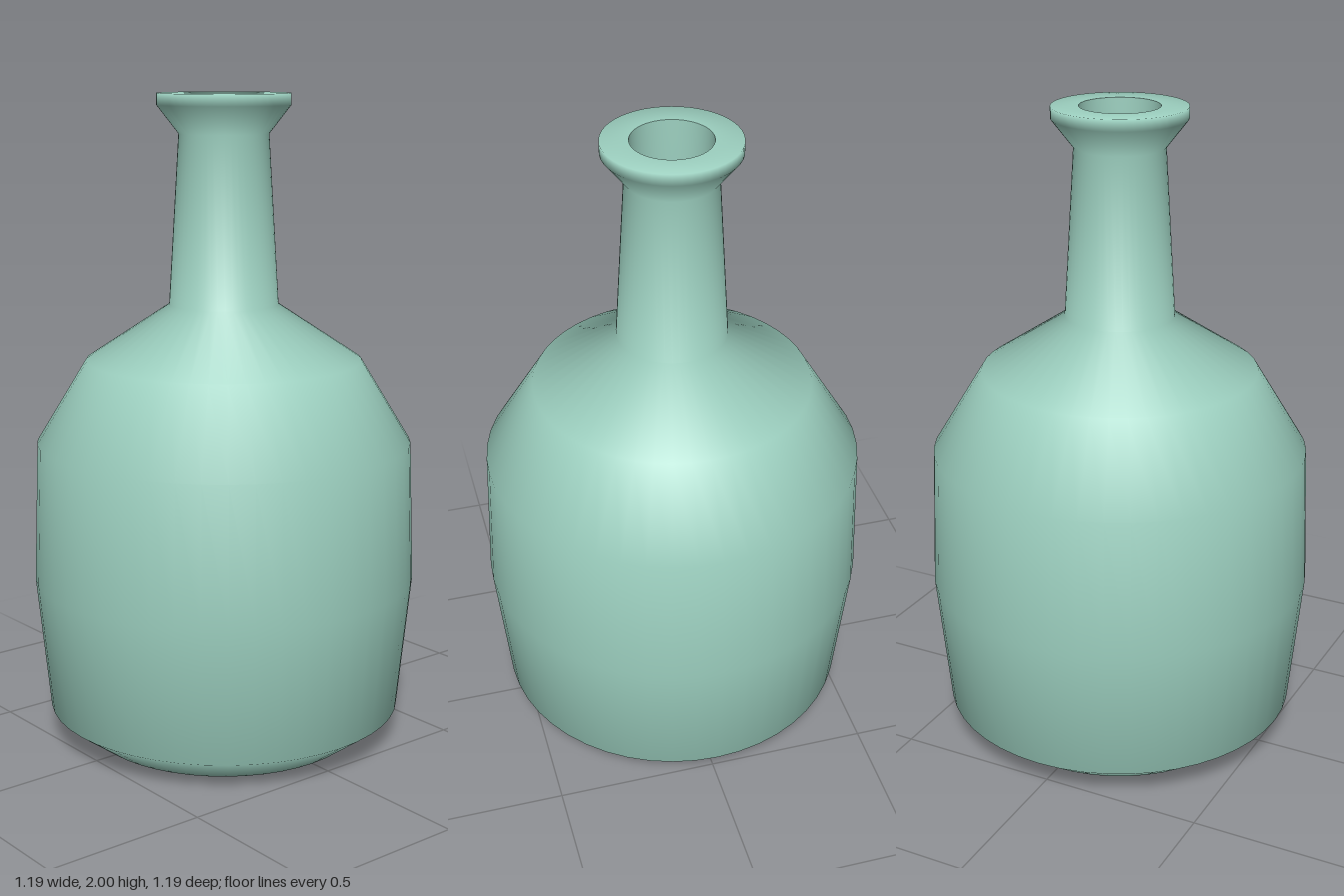
import * as THREE from 'three';

const SEGMENTS = 48;

export function createModel() {
  const group = new THREE.Group();
  group.name = 'bottle';
  const glass = new THREE.MeshStandardMaterial({ color: 0x9ccfbf });
  glass.name = 'pale green glaze';

  // Turns a profile of [radius, height] pairs about the y axis
  const turn = (name, profile) => {
    const points = profile.map(([r, y]) => new THREE.Vector2(r, y));
    const mesh = new THREE.Mesh(new THREE.LatheGeometry(points, SEGMENTS), glass);
    mesh.name = name;
    group.add(mesh);
  };

  // Outside: base, belly, shoulder, neck and flared lip
  turn('body', [
    [0, 0], [0.43, 0], [0.553, 0.09], [0.595, 0.51], [0.58, 0.94],
    [0.425, 1.195], [0.168, 1.365], [0.137, 1.88], [0.203, 1.965],
    [0.203, 2], [0.12, 2],
  ]);

  // Inside of the neck, meeting the lip at a sharp edge
  turn('neckInside', [[0.12, 2], [0.118, 1.88], [0.118, 1.4]]);
  turn('neckFloor', [[0.118, 1.4], [0, 1.4]]);

  return group;
}
